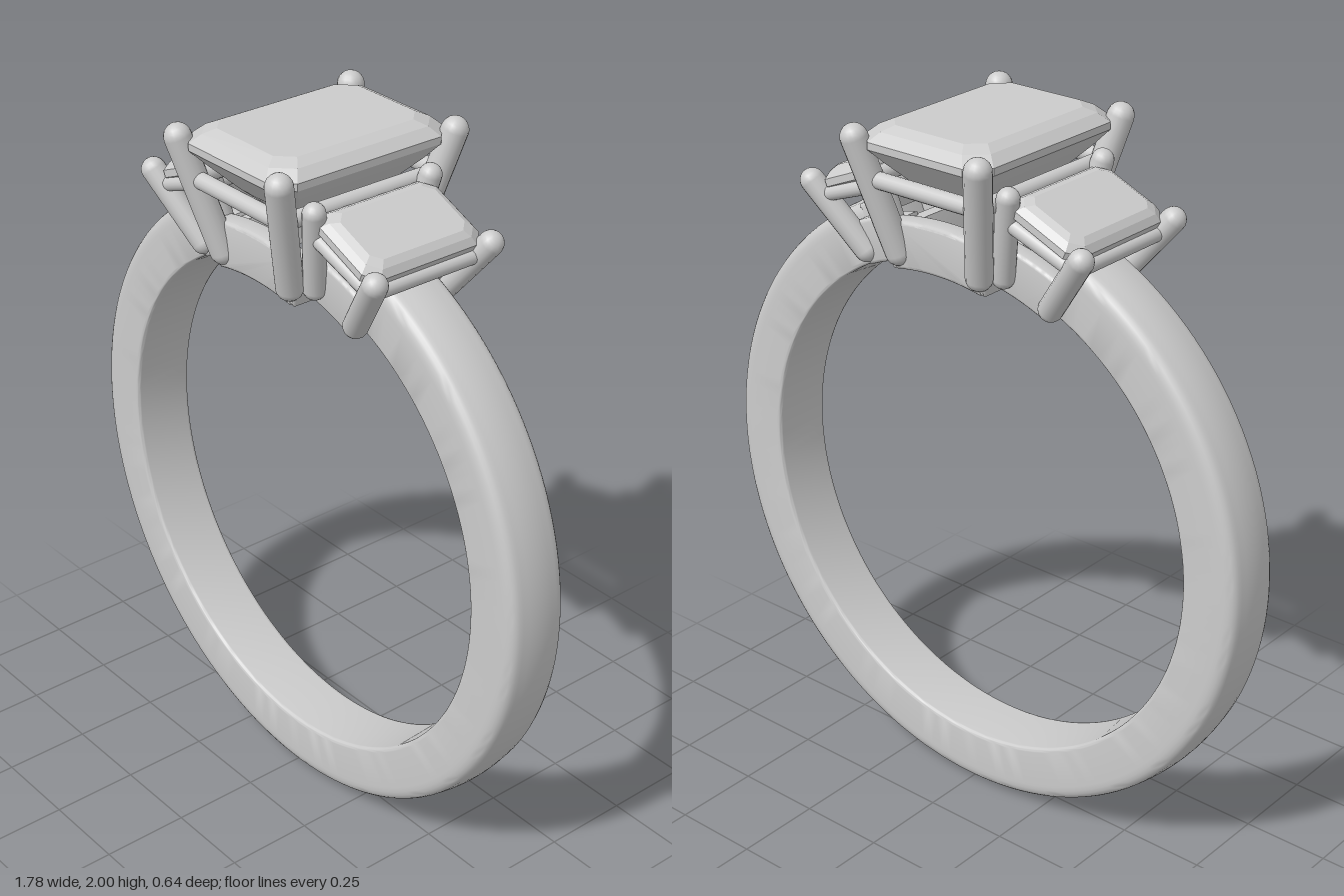
import * as THREE from 'three';
import { toCreasedNormals } from 'three/addons/utils/BufferGeometryUtils.js';

const metal = new THREE.MeshStandardMaterial({ color: 0xcccccc });
const stone = new THREE.MeshStandardMaterial({ color: 0xcccccc, flatShading: true });
const CY = 0.89;                 // height of the finger-hole centre
const R_IN = 0.722, R_OUT = 0.89, HALF = 0.092;
const END = 0.43;                // angle from the top where the band meets the head

const v = (x, y, z) => new THREE.Vector3(x, y, z);

function add(parent, name, geometry, material = metal) {
  const mesh = new THREE.Mesh(geometry, material);
  mesh.name = name;
  parent.add(mesh);
  return mesh;
}

// Round-ended rod between two points
function rod(parent, name, a, b, r) {
  const dir = b.clone().sub(a);
  const mesh = add(parent, name, new THREE.CapsuleGeometry(r, dir.length(), 6, 16));
  mesh.position.copy(a).add(b).multiplyScalar(0.5);
  mesh.quaternion.setFromUnitVectors(v(0, 1, 0), dir.normalize());
}

// Bar following the ring from angle a0 to a1 (clockwise from the top)
function arcBar(parent, name, r0, r1, a0, a1, z0, z1) {
  const b = 0.01, q = Math.PI / 2;
  const s = new THREE.Shape();
  s.absarc(0, 0, r1, q - a1, q - a0, false);
  s.absarc(0, 0, r0, q - a0, q - a1, true);
  const g = new THREE.ExtrudeGeometry(s, {
    depth: z1 - z0 - 2 * b, bevelThickness: b, bevelSize: b, bevelOffset: -b,
    bevelSegments: 3, curveSegments: 16,
  });
  g.translate(0, CY, z0 + b);
  add(parent, name, toCreasedNormals(g, 0.6));
}

// Step-cut stone from chamfered rectangles: [y, halfWidth, halfDepth, chamfer]
function gemGeometry(levels) {
  const pos = [];
  const loops = levels.map(([y, w, d, c]) => [
    [w, d - c], [w, c - d], [w - c, -d], [c - w, -d],
    [-w, c - d], [-w, d - c], [c - w, d], [w - c, d],
  ].map(([x, z]) => [x, y, z]));
  const tri = (a, b, c) => pos.push(...a, ...b, ...c);
  for (let i = 0; i < loops.length - 1; i++) {
    for (let k = 0; k < 8; k++) {
      const n = (k + 1) % 8, lo = loops[i], hi = loops[i + 1];
      tri(lo[k], lo[n], hi[n]);
      tri(lo[k], hi[n], hi[k]);
    }
  }
  const top = loops[loops.length - 1], low = loops[0];
  for (let k = 1; k < 7; k++) {
    tri(top[0], top[k], top[k + 1]);
    tri(low[0], low[k + 1], low[k]);
  }
  const g = new THREE.BufferGeometry();
  g.setAttribute('position', new THREE.Float32BufferAttribute(pos, 3));
  g.computeVertexNormals();
  return g;
}

// Four prongs joined by a rail; each prong is [base, tip, radius, railHeight 0..1]
function basket(parent, name, prongs, railRadius) {
  const corners = [];
  prongs.forEach(([base, tip, r, t]) => {
    const row = [1, -1].map((s) => {
      const flip = v(1, 1, s);
      const a = base.clone().multiply(flip), b = tip.clone().multiply(flip);
      rod(parent, name + 'Prong', a, b, r);
      return a.lerp(b, t);
    });
    corners.push(row);
  });
  const [[a, b], [c, d]] = corners;
  [[a, b], [b, d], [d, c], [c, a]].forEach(([p, q]) => rod(parent, name + 'Rail', p, q, railRadius));
}

export function createModel() {
  const ring = new THREE.Group();
  ring.name = 'threeStoneRing';

  // Band: softly domed profile swept round, open under the stones
  const p = new THREE.Shape();
  p.moveTo(R_IN + 0.012, -HALF);
  p.lineTo(R_OUT - 0.05, -HALF);
  p.quadraticCurveTo(R_OUT - 0.008, -HALF, R_OUT - 0.006, -HALF + 0.035);
  p.quadraticCurveTo(R_OUT + 0.006, 0, R_OUT - 0.006, HALF - 0.035);
  p.quadraticCurveTo(R_OUT - 0.008, HALF, R_OUT - 0.05, HALF);
  p.lineTo(R_IN + 0.012, HALF);
  p.quadraticCurveTo(R_IN, HALF, R_IN, HALF - 0.012);
  p.lineTo(R_IN, -HALF + 0.012);
  p.quadraticCurveTo(R_IN, -HALF, R_IN + 0.012, -HALF);
  const band = new THREE.LatheGeometry(p.getPoints(6), 128, END, 2 * Math.PI - 2 * END);
  band.rotateX(-Math.PI / 2);
  band.translate(0, CY, 0);
  add(ring, 'band', toCreasedNormals(band, 0.7));

  // Centre setting
  const centre = new THREE.Group();
  centre.name = 'centreSetting';
  ring.add(centre);
  add(centre, 'centreStone', gemGeometry([
    [1.745, 0.02, 0.08, 0.01],
    [1.83, 0.115, 0.18, 0.03],
    [1.9, 0.18, 0.25, 0.045],
    [1.94, 0.212, 0.288, 0.055],
    [1.96, 0.212, 0.288, 0.055],
    [1.985, 0.185, 0.262, 0.05],
    [2.0, 0.155, 0.23, 0.042],
  ]), stone);
  basket(centre, 'centre', [1, -1].map((s) => [
    v(s * 0.137, 1.645, 0.2), v(s * 0.205, 1.963, 0.285), 0.037, 0.65,
  ]), 0.023);
  [1, -1].forEach((s) => {
    const z = [s * 0.145, s * 0.21].sort((a, b) => a - b);
    arcBar(centre, 'centreGalleryRail', R_IN, 0.853, -0.2, 0.2, z[0], z[1]);
    const a = [s * 0.155, s * 0.215].sort((m, n) => m - n);
    arcBar(centre, 'centreGalleryBar', R_IN, 0.835, a[0], a[1], -0.205, 0.205);
  });

  // Side settings, tilted to follow the band
  [1, -1].forEach((s) => {
    const side = new THREE.Group();
    side.name = s > 0 ? 'leftSetting' : 'rightSetting';
    ring.add(side);
    const gem = add(side, 'sideStone', gemGeometry([
      [-0.125, 0.015, 0.06, 0.008],
      [-0.06, 0.07, 0.13, 0.02],
      [-0.015, 0.122, 0.192, 0.035],
      [0.005, 0.122, 0.192, 0.035],
      [0.022, 0.105, 0.175, 0.03],
      [0.032, 0.085, 0.155, 0.025],
    ]), stone);
    gem.position.set(s * 0.323, 1.807, 0);
    gem.rotation.z = -s * 0.4;
    basket(side, 'side', [
      [v(s * 0.175, 1.64, 0.15), v(s * 0.222, 1.872, 0.19), 0.031, 0.72],
      [v(s * 0.315, 1.585, 0.132), v(s * 0.452, 1.765, 0.19), 0.034, 0.8],
    ], 0.021);
    const a = [s * 0.2, s * END].sort((m, n) => m - n);
    [1, -1].forEach((t) => {
      const z = [t * 0.085, t * 0.14].sort((m, n) => m - n);
      arcBar(side, 'sideGalleryRail', R_IN, 0.845, a[0], a[1], z[0], z[1]);
    });
    // Crossbar closing the end of the band
    const e = [s * 0.385, s * 0.445].sort((m, n) => m - n);
    arcBar(side, 'bandEnd', R_IN, 0.882, e[0], e[1], -HALF, HALF);
  });

  return ring;
}
